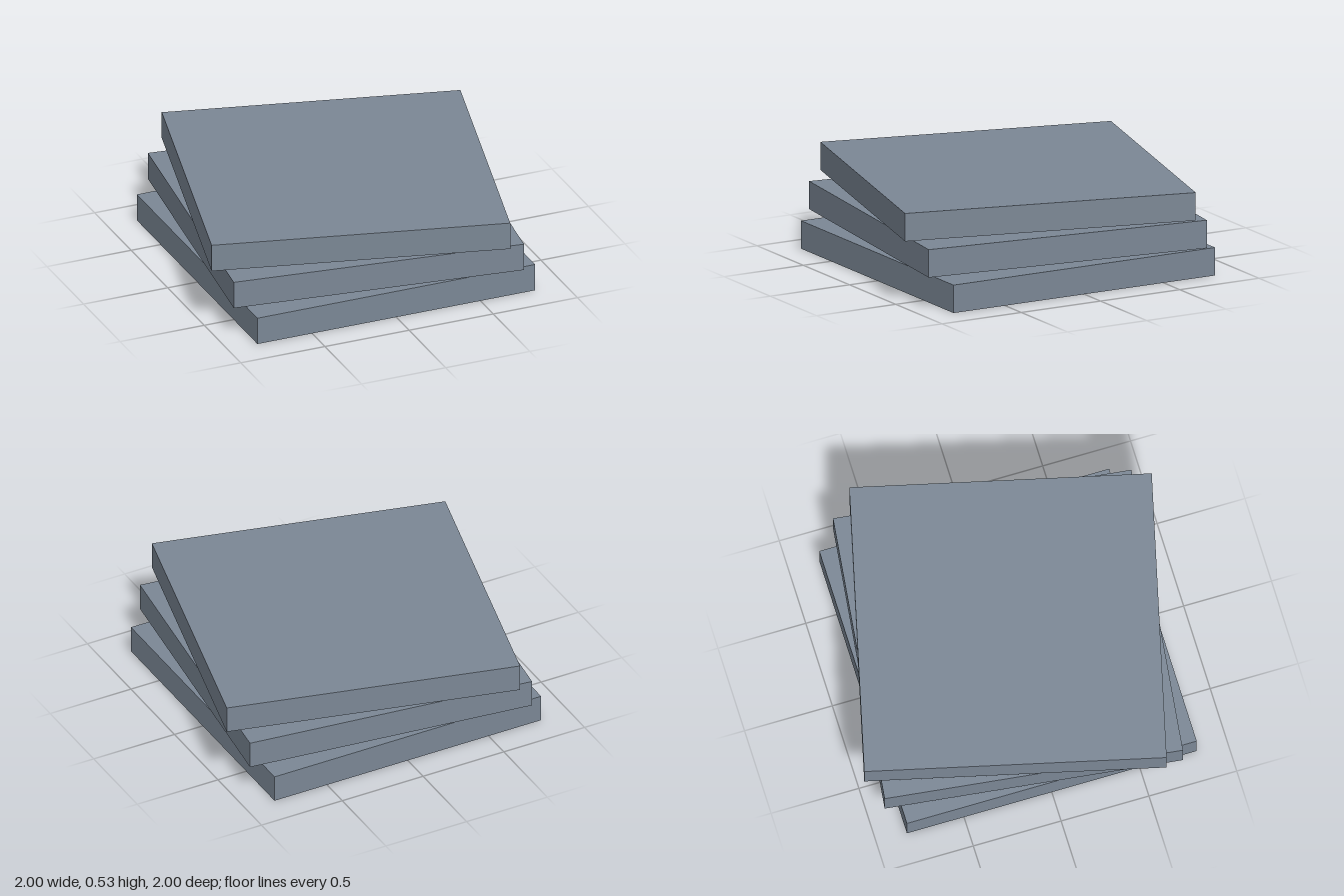
import * as THREE from 'three';

const SIDE = 1.65, HEIGHT = 0.157, PITCH = 0.188, TWIST = THREE.MathUtils.degToRad(7);

// Thin-walled square tray turned upside down: a box without its bottom face
function openBottomBox(width, height, depth) {
  const geometry = new THREE.BoxGeometry(width, height, depth);
  const index = Array.from(geometry.index.array);
  index.splice(18, 6); // the fourth face points down
  geometry.setIndex(index);
  geometry.clearGroups();
  geometry.translate(0, height / 2, 0);
  return geometry;
}

export function createModel() {
  const model = new THREE.Group();
  model.name = 'twistedStack';
  const slate = new THREE.MeshStandardMaterial({ color: 0x7b8795, side: THREE.DoubleSide });
  slate.name = 'slate grey';

  // Three equal slabs, each turned a little further than the one below
  const geometry = openBottomBox(SIDE, HEIGHT, SIDE);
  ['lowerSlab', 'middleSlab', 'upperSlab'].forEach((name, i) => {
    const slab = new THREE.Mesh(geometry, slate);
    slab.name = name;
    slab.position.y = i * PITCH;
    slab.rotation.y = -i * TWIST;
    model.add(slab);
  });
  return model;
}
